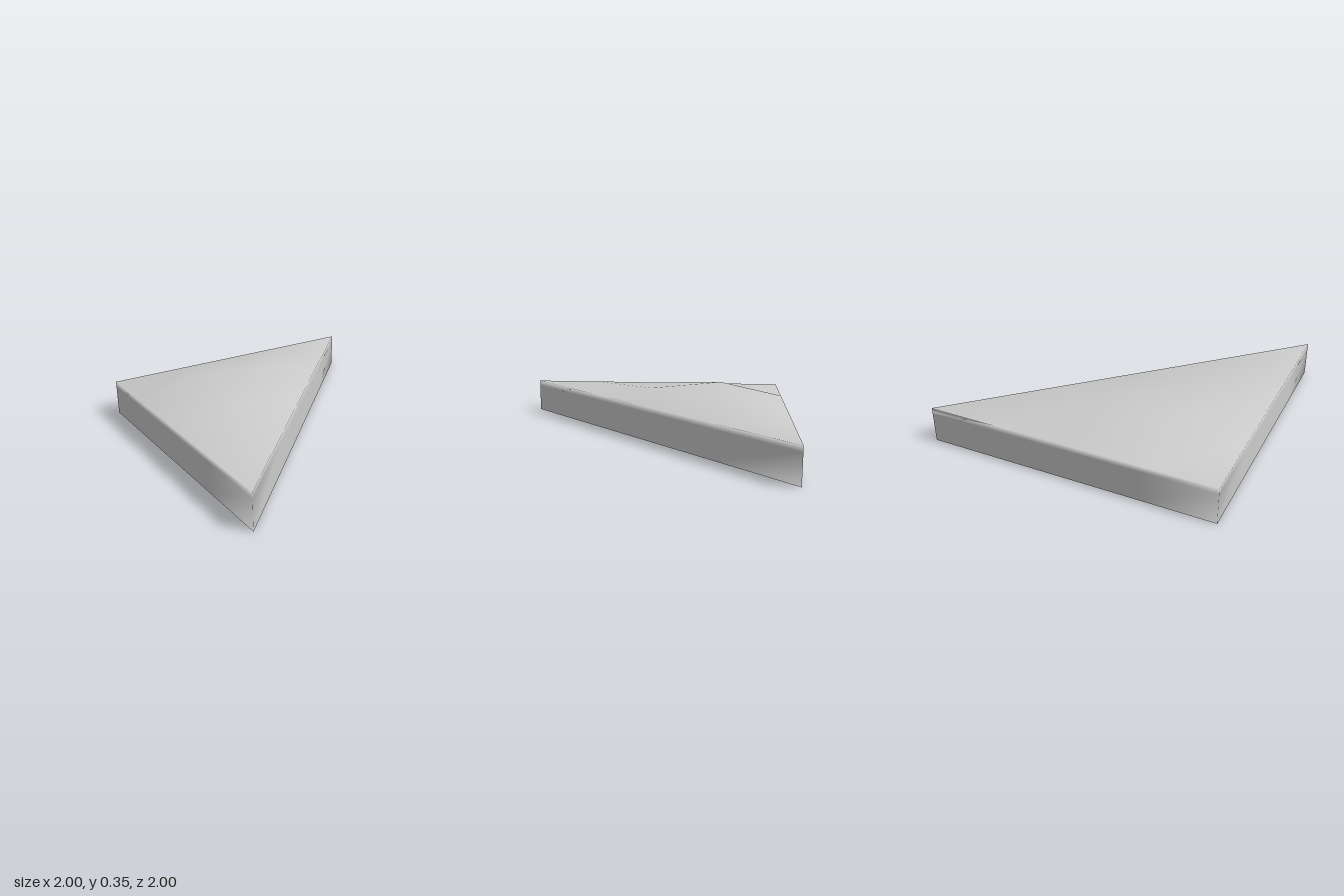
import * as THREE from 'three';

// Smooth-shaded triangular cover: low skirt walls, faceted dome roof, open underneath.
const N = 4;          // segments along each side
const RIM = 0.25;     // height of the rim

// Raised interior roof points, keyed by grid column and row
const raised = {
  '1,1': [-0.47, 0.355, -0.54],
  '2,1': [0, 0.315, -0.5],
  '1,2': [-0.52, 0.29, 0],
};

export function createModel() {
  const positions = [];
  const indices = [];
  const ids = {};
  const addVertex = (x, y, z) => positions.push(x, y, z) / 3 - 1;

  // Roof points on a triangular grid
  for (let j = 0; j <= N; j++) {
    for (let i = 0; i <= N - j; i++) {
      const p = raised[`${i},${j}`] ?? [-1 + (2 * i) / N, RIM, -1 + (2 * j) / N];
      ids[`${i},${j}`] = addVertex(...p);
    }
  }
  const id = (i, j) => ids[`${i},${j}`];

  // Roof triangles
  for (let j = 0; j < N; j++) {
    for (let i = 0; i < N - j; i++) {
      indices.push(id(i, j), id(i, j + 1), id(i + 1, j));
      if (i + j < N - 1) indices.push(id(i + 1, j), id(i, j + 1), id(i + 1, j + 1));
    }
  }

  // Rim loop: left side, diagonal, back side
  const rim = [];
  for (let k = 0; k < N; k++) rim.push(id(0, k));
  for (let k = 0; k < N; k++) rim.push(id(k, N - k));
  for (let k = 0; k < N; k++) rim.push(id(N - k, 0));

  // Skirt walls, sharing the rim points so the shading flows over the edge
  let upper = rim;
  for (const y of [0.21, 0]) {
    const lower = rim.map((v) => addVertex(positions[v * 3], y, positions[v * 3 + 2]));
    for (let k = 0; k < rim.length; k++) {
      const n = (k + 1) % rim.length;
      indices.push(lower[k], lower[n], upper[n], lower[k], upper[n], upper[k]);
    }
    upper = lower;
  }

  const geometry = new THREE.BufferGeometry();
  geometry.setAttribute('position', new THREE.Float32BufferAttribute(positions, 3));
  geometry.setIndex(indices);
  geometry.computeVertexNormals();

  const shell = new THREE.Mesh(
    geometry,
    new THREE.MeshStandardMaterial({ color: 0xcccccc, side: THREE.DoubleSide })
  );
  shell.name = 'triangularShell';

  const group = new THREE.Group();
  group.name = 'triangularCover';
  group.add(shell);
  return group;
}
